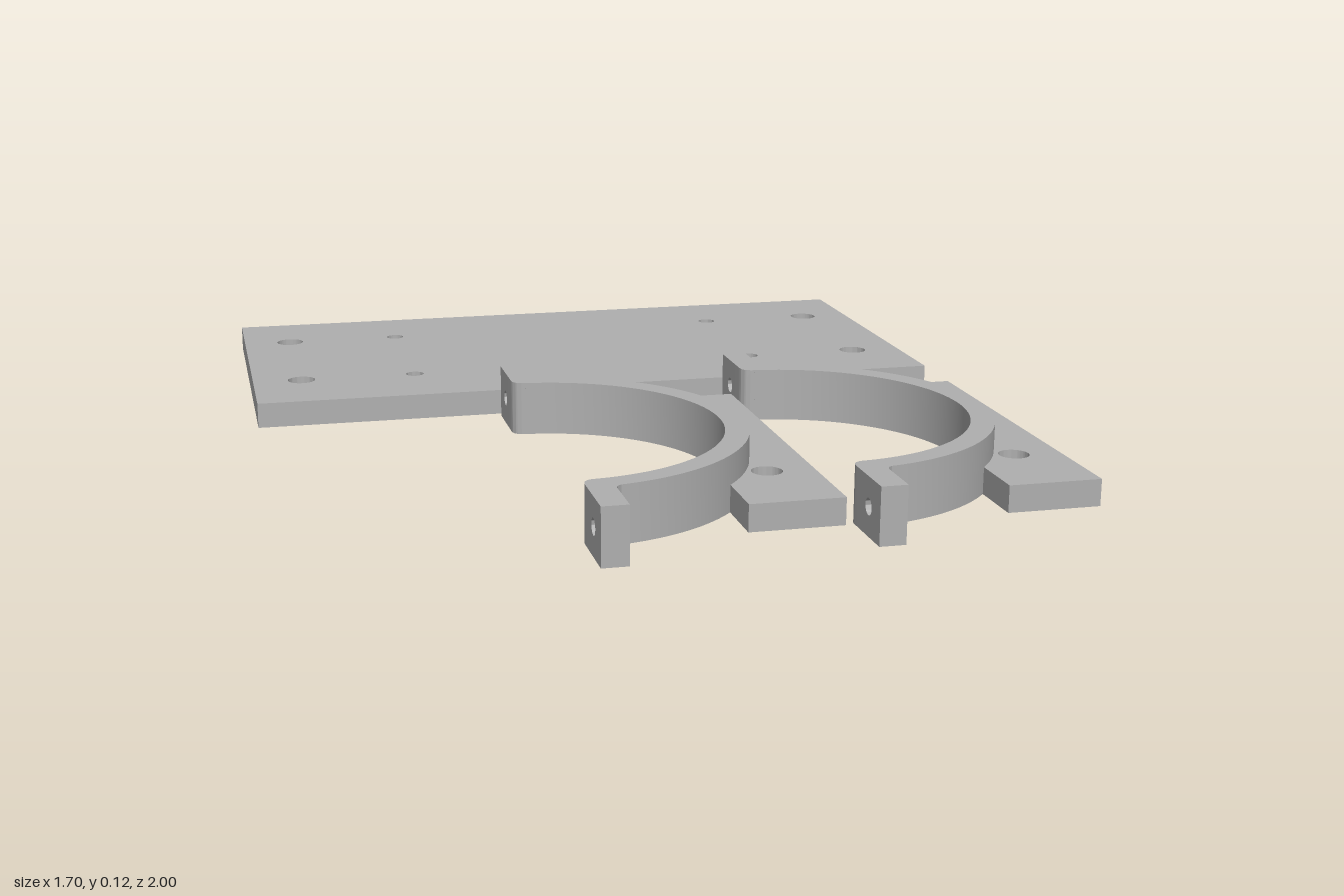
import * as THREE from 'three';
import { toCreasedNormals } from 'three/addons/utils/BufferGeometryUtils.js';

const PLATE_H = 0.06, RING_H = 0.125;
const BORE = 0.034, SCREW = 0.018, PILOT = 0.022;
const R_IN = 0.392, R_OUT = 0.445, TAB_T = 0.057;
const SPLIT = 0.4635, TAB_END = 0.5675;

export function createModel() {
  const model = new THREE.Group();
  const grey = new THREE.MeshStandardMaterial({ color: 0xb0b0b0 });
  grey.name = 'plain grey';

  const circle = (x, y, r, Type = THREE.Path) => {
    const c = new Type();
    c.absarc(x, y, r, 0, Math.PI * 2, false);
    return c;
  };
  const extrude = (shape, depth) => toCreasedNormals(
    new THREE.ExtrudeGeometry(shape, { depth, bevelEnabled: false, curveSegments: 40 }), 0.5);
  const add = (parent, name, geometry) => {
    const mesh = new THREE.Mesh(geometry, grey);
    mesh.name = name;
    parent.add(mesh);
    return mesh;
  };
  // Lay a shape drawn in (x, -z) flat on the ground
  const flat = (shape, h) => extrude(shape, h).rotateX(-Math.PI / 2);
  const polygon = (pts) => new THREE.Shape(pts.map(([x, y]) => new THREE.Vector2(x, y)));
  // Narrow lower half of a counterbored hole
  const seat = (x, y) => {
    const s = circle(x, y, BORE, THREE.Shape);
    s.holes.push(circle(x, y, SCREW));
    return s;
  };

  // Large mounting plate with four counterbored and four plain holes
  const basePlate = new THREE.Group();
  basePlate.name = 'basePlate';
  model.add(basePlate);
  const plate = polygon([[-0.85, 0.155], [0.85, 0.155], [0.85, 1], [-0.85, 1]]);
  for (const y of [0.365, 0.79]) {
    for (const x of [-0.73, 0.727]) {
      plate.holes.push(circle(x, y, BORE));
      add(basePlate, 'plateScrewSeat', flat(seat(x, y), PLATE_H / 2));
    }
    for (const x of [-0.445, 0.44]) plate.holes.push(circle(x, y, PILOT));
  }
  add(basePlate, 'plateBody', flat(plate, PLATE_H));

  // Half ring with rounded transitions into its tabs
  const a = Math.acos(0.078 / R_OUT), b = Math.acos(0.03 / R_IN);
  const ring = new THREE.Shape();
  ring.moveTo(0, -SPLIT);
  ring.lineTo(TAB_T, -SPLIT);
  ring.lineTo(TAB_T, -0.4615);
  ring.quadraticCurveTo(TAB_T, -0.441, 0.078, -0.4381);
  ring.absarc(0, 0, R_OUT, -a, a, false);
  ring.quadraticCurveTo(TAB_T, 0.441, TAB_T, 0.4615);
  ring.lineTo(TAB_T, SPLIT);
  ring.lineTo(0, SPLIT);
  ring.lineTo(0, 0.422);
  ring.quadraticCurveTo(0, R_IN, 0.03, 0.3909);
  ring.absarc(0, 0, R_IN, b, -b, true);
  ring.quadraticCurveTo(0, -R_IN, 0, -0.422);
  ring.closePath();
  const ringGeometry = flat(ring, RING_H);

  // Foot plate hugging the outside of the ring
  const c = Math.acos(0.337 / R_OUT);
  const foot = new THREE.Shape();
  foot.moveTo(0.337, -0.4245);
  foot.lineTo(0.545, -0.4245);
  foot.lineTo(0.545, 0.4245);
  foot.lineTo(0.337, 0.4245);
  foot.absarc(0, 0, R_OUT, c, -c, true);
  foot.closePath();
  for (const s of [-1, 1]) foot.holes.push(circle(0.44, s * 0.2125, BORE));
  const footGeometry = flat(foot, PLATE_H);

  // Two identical clamp brackets
  for (const x of [-0.262, 0.302]) {
    const bracket = new THREE.Group();
    bracket.name = 'clampBracket';
    bracket.position.set(x, 0, 0.4325);
    model.add(bracket);
    add(bracket, 'halfRing', ringGeometry);
    add(bracket, 'footPlate', footGeometry);
    for (const s of [-1, 1]) {
      add(bracket, 'footScrewSeat', flat(seat(0.44, s * 0.2125), PLATE_H / 2));
      // Bolt tab, pierced sideways
      const lo = Math.min(s * SPLIT, s * TAB_END), hi = Math.max(s * SPLIT, s * TAB_END);
      const tab = polygon([[lo, 0], [hi, 0], [hi, RING_H], [lo, RING_H]]);
      tab.holes.push(circle(s * 0.5, RING_H / 2, BORE));
      add(bracket, 'boltTab', extrude(tab, TAB_T).rotateY(Math.PI / 2));
      add(bracket, 'tabScrewSeat',
        extrude(seat(s * 0.5, RING_H / 2), TAB_T / 2).rotateY(Math.PI / 2));
    }
  }
  return model;
}
